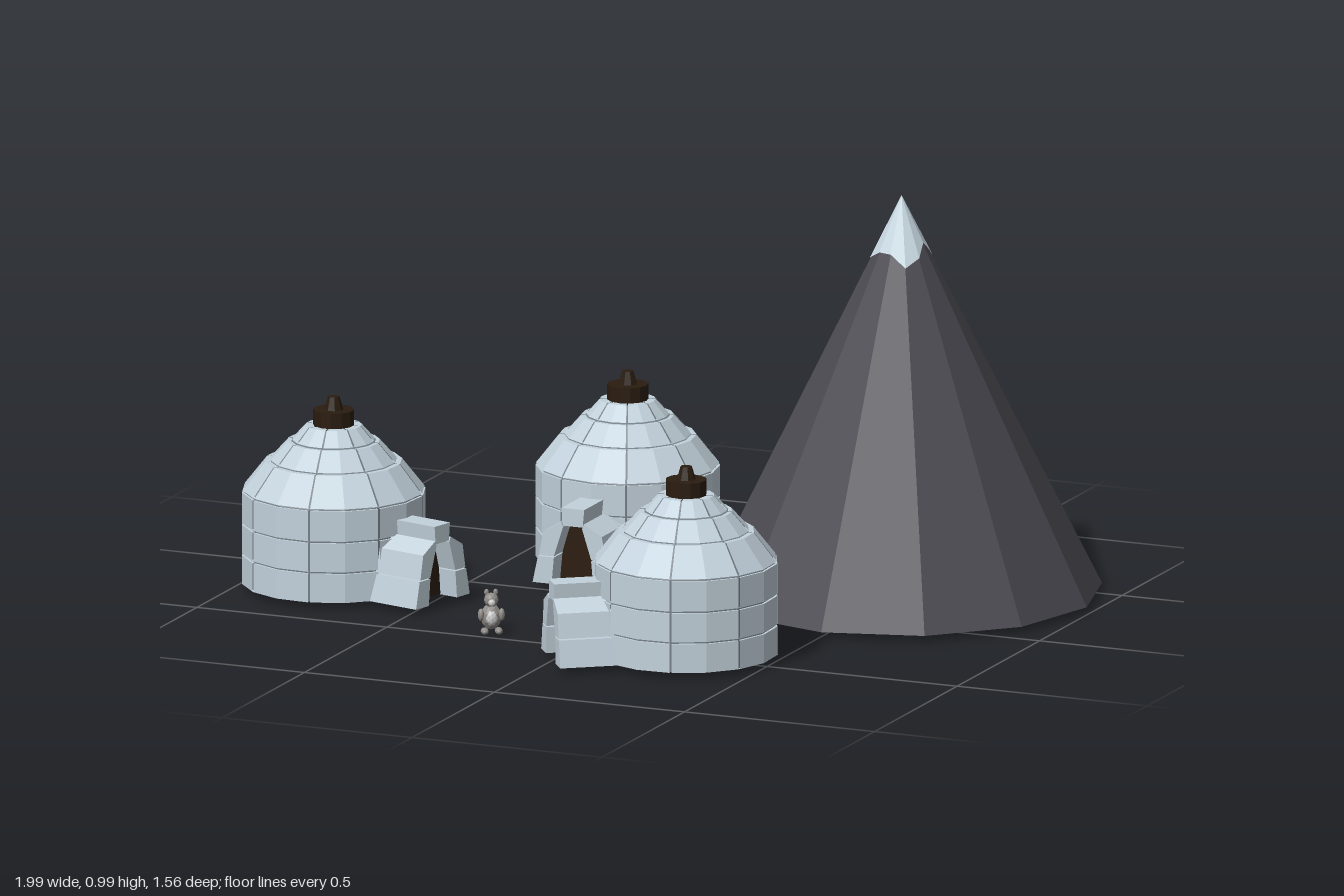
import * as THREE from 'three';

const mat = (color, side = THREE.FrontSide) => new THREE.MeshStandardMaterial({ color, flatShading: true, side });
const ice = mat(0xc3d2dc, THREE.DoubleSide);
const joint = mat(0x778188);
const dark = mat(0x2a1c10);
const rock = mat(0x4b4a52);
const snow = mat(0xc8d8e2, THREE.DoubleSide);
const fur = mat(0x8f8b88);
const paleFur = mat(0xcccccc);
const GROUND = 0.016;

function add(parent, name, geometry, material, x = 0, y = 0, z = 0) {
  const mesh = new THREE.Mesh(geometry, material);
  mesh.name = name;
  mesh.position.set(x, y, z);
  parent.add(mesh);
  return mesh;
}

const pts = (list) => list.map(([x, y]) => new THREE.Vector2(x, y));

// Mountain with a ragged snow cap
function mountain() {
  const g = new THREE.Group();
  g.name = 'mountain';
  const R = 0.487, top = 0.99, H = top - GROUND;
  add(g, 'rockCone', new THREE.ConeGeometry(R, H, 12), rock, 0, GROUND + H / 2, 0);
  const hem = [0.86, 0.83, 0.85, 0.88, 0.85, 0.79, 0.82, 0.84, 0.85, 0.84, 0.84, 0.86];
  const cap = new THREE.ConeGeometry(1, 1, 12, 1, true);
  const p = cap.attributes.position;
  for (let i = 0; i < p.count; i++) {
    if (p.getY(i) > 0) { p.setXYZ(i, 0, top + 0.003, 0); continue; }
    const k = Math.round(Math.atan2(p.getX(i), p.getZ(i)) / (Math.PI / 6) + 12) % 12;
    const r = R * (top - hem[k]) / H + 0.002;
    p.setXYZ(i, p.getX(i) * r, hem[k], p.getZ(i) * r);
  }
  add(g, 'snowCap', cap, snow);
  g.position.set(0.508, 0, -0.297);
  return g;
}

// Courses of ice blocks: lower radius, lower y, upper radius, upper y
const courses = [
  [0.223, GROUND, 0.223, 0.087],
  [0.223, 0.092, 0.223, 0.163],
  [0.223, 0.168, 0.223, 0.243],
  [0.221, 0.248, 0.166, 0.318],
  [0.153, 0.321, 0.112, 0.367],
  [0.1, 0.37, 0.068, 0.406],
];

function iceHouse(x, z, yaw) {
  const g = new THREE.Group();
  g.name = 'iceHouse';

  // Hollow shell behind the blocks
  add(g, 'jointCore', new THREE.LatheGeometry(pts([
    [0.144, GROUND + 0.001], [0.217, GROUND + 0.001], [0.217, 0.244], [0.16, 0.316],
    [0.146, 0.32], [0.106, 0.366], [0.093, 0.37], [0.062, 0.402], [0, 0.403],
  ]), 16), joint);
  add(g, 'innerWall', new THREE.LatheGeometry(pts([
    [0, 0.35], [0.06, 0.34], [0.12, 0.285], [0.144, 0.23], [0.144, GROUND],
  ]), 16), ice);

  // Eight blocks in each course, two facets to a block
  for (const [r0, y0, r1, y1] of courses) {
    const gap = 0.0025 / r0;
    for (let k = 0; k < 8; k++) {
      const start = (k + 0.5) * Math.PI / 4;
      add(g, 'iceBlock', new THREE.LatheGeometry(pts([
        [r0 - 0.025, y0], [r0, y0], [r1, y1], [r1 - 0.025, y1],
      ]), 2, start + gap, Math.PI / 4 - 2 * gap), ice);
    }
  }

  // Smoke vent
  add(g, 'ventRing', new THREE.CylinderGeometry(0.05, 0.05, 0.042, 12), dark, 0, 0.423, 0);
  add(g, 'ventKnob', new THREE.CylinderGeometry(0.014, 0.024, 0.034, 8), dark, 0, 0.459, 0);

  // Entrance tunnel: two leaning courses on each side and a ridge on top
  const extrude = (list, depth) => new THREE.ExtrudeGeometry(new THREE.Shape(pts(list)), { depth, bevelEnabled: false });
  for (const s of [-1, 1]) {
    const side = (list) => list.map(([a, b]) => [a * s, b]);
    add(g, 'tunnelLowerWall', extrude(side([[0.055, GROUND], [0.105, GROUND], [0.091, 0.082], [0.049, 0.082]]), 0.145), ice, 0, 0, 0.19);
    add(g, 'tunnelUpperWall', extrude(side([[0.049, 0.085], [0.088, 0.085], [0.077, 0.145], [0.03, 0.172], [0.025, 0.16]]), 0.145), ice, 0, 0, 0.19);
  }
  add(g, 'tunnelRidge', extrude([[-0.026, 0.163], [0.026, 0.163], [0.03, 0.207], [-0.03, 0.207]], 0.143), ice, 0, 0, 0.19);
  add(g, 'doorway', extrude([[-0.054, GROUND + 0.002], [0.054, GROUND + 0.002], [0.048, 0.085], [0.025, 0.164], [-0.025, 0.164], [-0.048, 0.085]], 0.06), dark, 0, 0, 0.225);

  g.position.set(x, 0, z);
  g.rotation.y = yaw;
  return g;
}

// Small furry figure seated between the houses
function figure() {
  const g = new THREE.Group();
  g.name = 'figure';
  const lump = (name, m, r, x, y, z, sx = 1, sy = 1, sz = 1) =>
    add(g, name, new THREE.IcosahedronGeometry(r, 1), m, x, y, z).scale.set(sx, sy, sz);
  lump('body', fur, 0.026, 0, 0.04, 0, 1, 1.25, 1);
  lump('belly', paleFur, 0.018, 0, 0.04, 0.013, 0.9, 1.2, 0.9);
  lump('head', fur, 0.018, 0, 0.083, 0.006);
  lump('muzzle', paleFur, 0.009, 0, 0.079, 0.022);
  lump('tail', fur, 0.01, 0, 0.022, -0.028, 1, 1, 1.3);
  for (const s of [-1, 1]) {
    lump('ear', fur, 0.006, 0.011 * s, 0.101, 0.002, 1, 1.4, 0.7);
    lump('arm', fur, 0.01, 0.025 * s, 0.047, 0.01, 0.8, 1.6, 1);
    lump('foot', fur, 0.011, 0.017 * s, 0.009, 0.02, 0.9, 0.8, 1.5);
  }
  g.position.set(-0.248, 0, 0.45);
  g.rotation.y = 0.5;
  return g;
}

export function createModel() {
  const model = new THREE.Group();
  model.name = 'snowVillage';
  model.add(
    mountain(),
    iceHouse(-0.777, 0.185, 1.316),
    iceHouse(-0.229, -0.335, 0),
    iceHouse(0.285, 0.495, -0.941),
    figure(),
  );
  return model;
}
